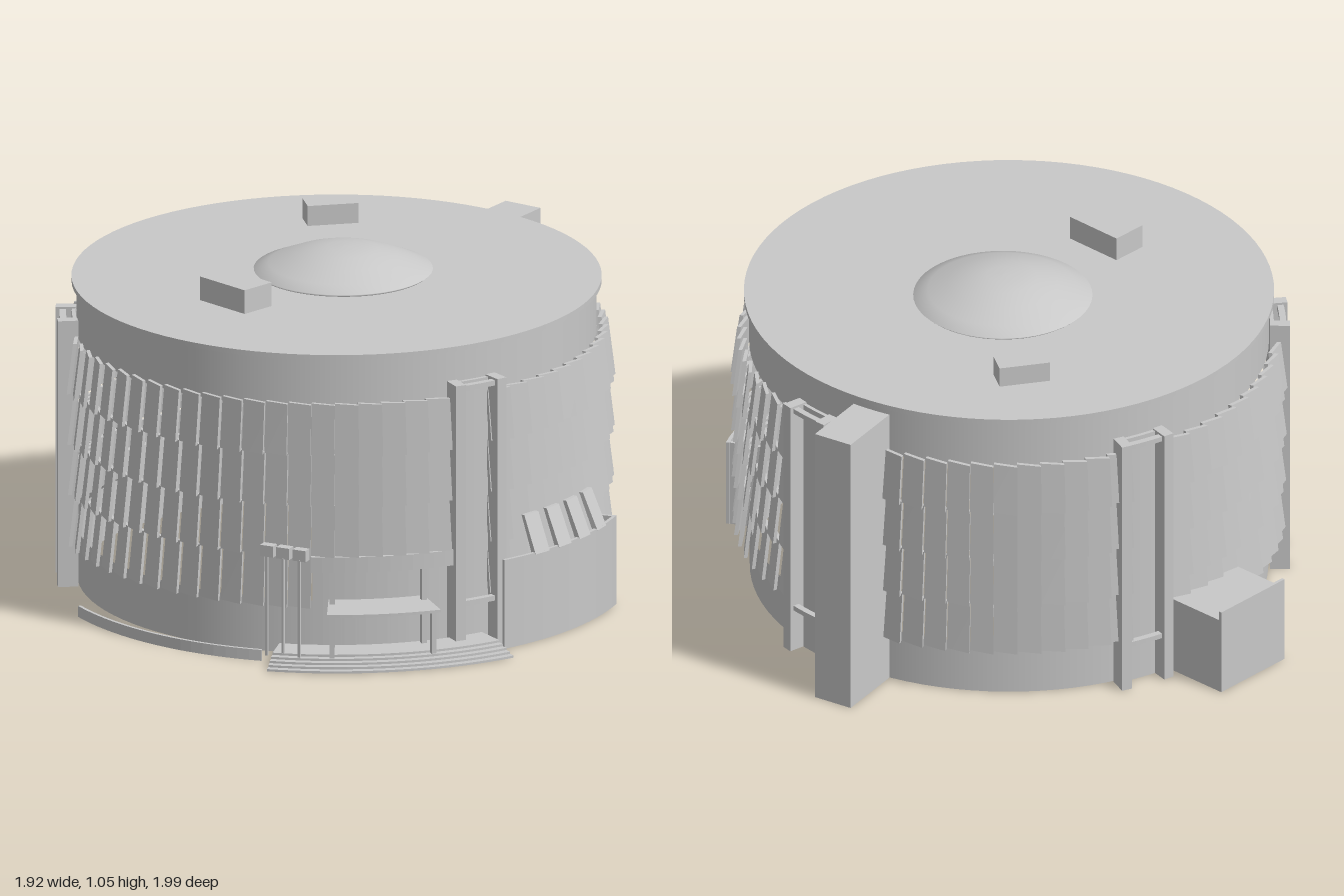
import * as THREE from 'three';
import { mergeGeometries } from 'three/addons/utils/BufferGeometryUtils.js';

const rad = THREE.MathUtils.degToRad;

export function createModel() {
  const model = new THREE.Group();
  model.name = 'roundBuilding';
  const drum = new THREE.Group();
  drum.name = 'drum';
  drum.position.set(0.047, 0, 0.02);
  model.add(drum);

  const grey = new THREE.MeshStandardMaterial({ color: 0xc8c8c8, side: THREE.DoubleSide });
  grey.name = 'concreteGrey';

  const add = (name, geometry, parent = drum) => {
    const mesh = new THREE.Mesh(geometry, grey);
    mesh.name = name;
    parent.add(mesh);
    return mesh;
  };

  // Block placed by bearing (degrees from +z towards +x) and radius range
  const radialBox = (name, deg, r0, r1, width, y0, y1) => {
    const g = new THREE.BoxGeometry(width, y1 - y0, r1 - r0);
    g.translate(0, (y0 + y1) / 2, (r0 + r1) / 2);
    g.rotateY(rad(deg));
    return add(name, g);
  };

  // Solid curved segment of a ring
  const arcBlock = (name, a0, a1, r0, r1, y0, y1) => {
    const n = Math.ceil((a1 - a0) / 2.5);
    const pts = [];
    const put = (r, a) => pts.push(new THREE.Vector2(r * Math.sin(rad(a)), -r * Math.cos(rad(a))));
    for (let i = 0; i <= n; i++) put(r1, a0 + ((a1 - a0) * i) / n);
    for (let i = n; i >= 0; i--) put(r0, a0 + ((a1 - a0) * i) / n);
    const g = new THREE.ExtrudeGeometry(new THREE.Shape(pts), { depth: y1 - y0, bevelEnabled: false });
    g.rotateX(-Math.PI / 2);
    g.translate(0, y0, 0);
    return add(name, g);
  };

  const tube = (name, r, y0, y1) => {
    const g = new THREE.CylinderGeometry(r, r, y1 - y0, 96, 1, true);
    g.translate(0, (y0 + y1) / 2, 0);
    return add(name, g);
  };

  // Walls and roof
  tube('baseWall', 0.795, 0, 0.17);
  tube('upperWall', 0.797, 0.79, 0.95);
  const roof = new THREE.CylinderGeometry(0.813, 0.813, 0.016, 96);
  add('roof', roof.translate(0, 0.958, 0));

  // Shallow roof dome
  const profile = [[0.265, 0.965], [0.275, 0.974], [0.23, 0.993], [0.17, 1.018],
    [0.105, 1.038], [0.05, 1.045], [0, 1.046]].map(([x, y]) => new THREE.Vector2(x, y));
  add('dome', new THREE.LatheGeometry(profile, 48).translate(0, 0, -0.048));

  // Rooftop housings
  for (const [x, z, w, d, top, turn] of [
    [-0.205, -0.468, 0.159, 0.08, 1.03, 36.9],
    [-0.11, 0.41, 0.197, 0.116, 1.042, -20.4],
  ]) {
    const box = add('roofHousing', new THREE.BoxGeometry(w, top - 0.96, d), model);
    box.position.set(x, (top + 0.96) / 2, z);
    box.rotation.y = rad(turn);
  }

  // Shingled facade: tilted, twisted panels in four rows
  const bays = [56.5, -62.5, 156, -127];
  const away = (a, b) => Math.abs(((a - b + 540) % 360) - 180);
  const panel = (a0, a1, y0, y1, r) => {
    const g = new THREE.BoxGeometry(1, 1, 1);
    const p = g.attributes.position;
    for (let i = 0; i < p.count; i++) {
      const u = p.getX(i) + 0.5, v = p.getY(i) + 0.5, w = p.getZ(i) - 0.5;
      const a = rad(a0 + (a1 - a0) * u);
      const rr = r + 0.02 * u + 0.02 * (1 - v) + 0.012 * w;
      p.setXYZ(i, rr * Math.sin(a), y0 + (y1 - y0) * v, rr * Math.cos(a));
    }
    g.computeVertexNormals();
    return g;
  };
  const count = 72, step = 360 / count;
  const levels = [0.16, 0.325, 0.487, 0.65, 0.81];
  for (let row = 0; row < 4; row++) {
    const parts = [];
    for (let i = 0; i < count; i++) {
      const a = i * step, mid = a + step / 2;
      if (bays.some((b) => away(mid, b) < 5.2) || away(mid, 171) < 3) continue;
      if (row === 0 && mid > 21 && mid < 52) continue;
      parts.push(panel(a, a + step, levels[row], levels[row + 1], 0.809 + 0.002 * row));
    }
    add('facadePanels', mergeGeometries(parts));
  }

  // Column bays: backing plate, two columns, cross beams
  for (const b of bays) {
    arcBlock('bayPlate', b - 5, b + 5, 0.8, 0.812, 0, 0.85);
    for (const s of [-1, 1]) radialBox('bayColumn', b + s * 4.9, 0.8, 0.862, 0.034, 0, 0.855);
    for (const y of [0.14, 0.832]) arcBlock('bayBeam', b - 5, b + 5, 0.83, 0.85, y, y + 0.016);
  }

  // Rear tower and side annex with its parapet
  radialBox('rearTower', 171.2, 0.79, 1.018, 0.129, 0, 0.925);
  radialBox('annex', -109.6, 0.79, 1.02, 0.285, 0, 0.25);
  radialBox('annexParapet', -109.6, 1.01, 1.02, 0.285, 0.25, 0.28);

  // Entrance: steps, recessed wall, lintel, canopy on posts
  for (let i = 0; i < 5; i++)
    arcBlock('entranceStep', 13, 58.4, 0.867 - 0.05 * (i === 4), 0.996 - i * 0.02, i * 0.007, (i + 1) * 0.007);
  arcBlock('entranceWall', 20, 51, 0.785, 0.795, 0, 0.3);
  arcBlock('entranceLintel', 20, 51, 0.797, 0.845, 0.275, 0.325);
  arcBlock('entranceCanopy', 23.6, 45, 0.795, 0.952, 0.165, 0.174);
  for (const a of [24.5, 44])
    for (const [r, top] of [[0.93, 0.166], [0.835, 0.28]])
      radialBox('entrancePost', a, r - 0.008, r + 0.008, 0.016, 0.03, top);

  // Sign posts beside the steps
  for (const x of [0.228, 0.283, 0.338]) {
    const board = add('signBoard', new THREE.BoxGeometry(0.044, 0.036, 0.03), model);
    board.position.set(x, 0.355, 0.888);
    const post = add('signPost', new THREE.BoxGeometry(0.008, 0.32, 0.008), model);
    post.position.set(x, 0.18, 0.9);
  }

  // Low front garden wall and side yard wall
  arcBlock('gardenWall', -36.6, 10.5, 0.888, 0.898, 0, 0.035);
  arcBlock('yardWall', 60, 96.7, 0.895, 0.906, 0, 0.285);
  radialBox('yardEndWall', 96.2, 0.79, 0.9, 0.012, 0, 0.285);

  // Sloping fins between the facade and the yard wall
  for (const a of [69.5, 76, 82.5, 89]) {
    const s = new THREE.Shape([[0.845, 0.395], [0.858, 0.395], [0.908, 0.28], [0.89, 0.28]]
      .map(([x, y]) => new THREE.Vector2(x, y)));
    const g = new THREE.ExtrudeGeometry(s, { depth: 0.06, bevelEnabled: false });
    g.translate(0, 0, -0.03);
    g.rotateY(rad(a - 90));
    add('yardFin', g);
  }
  return model;
}
